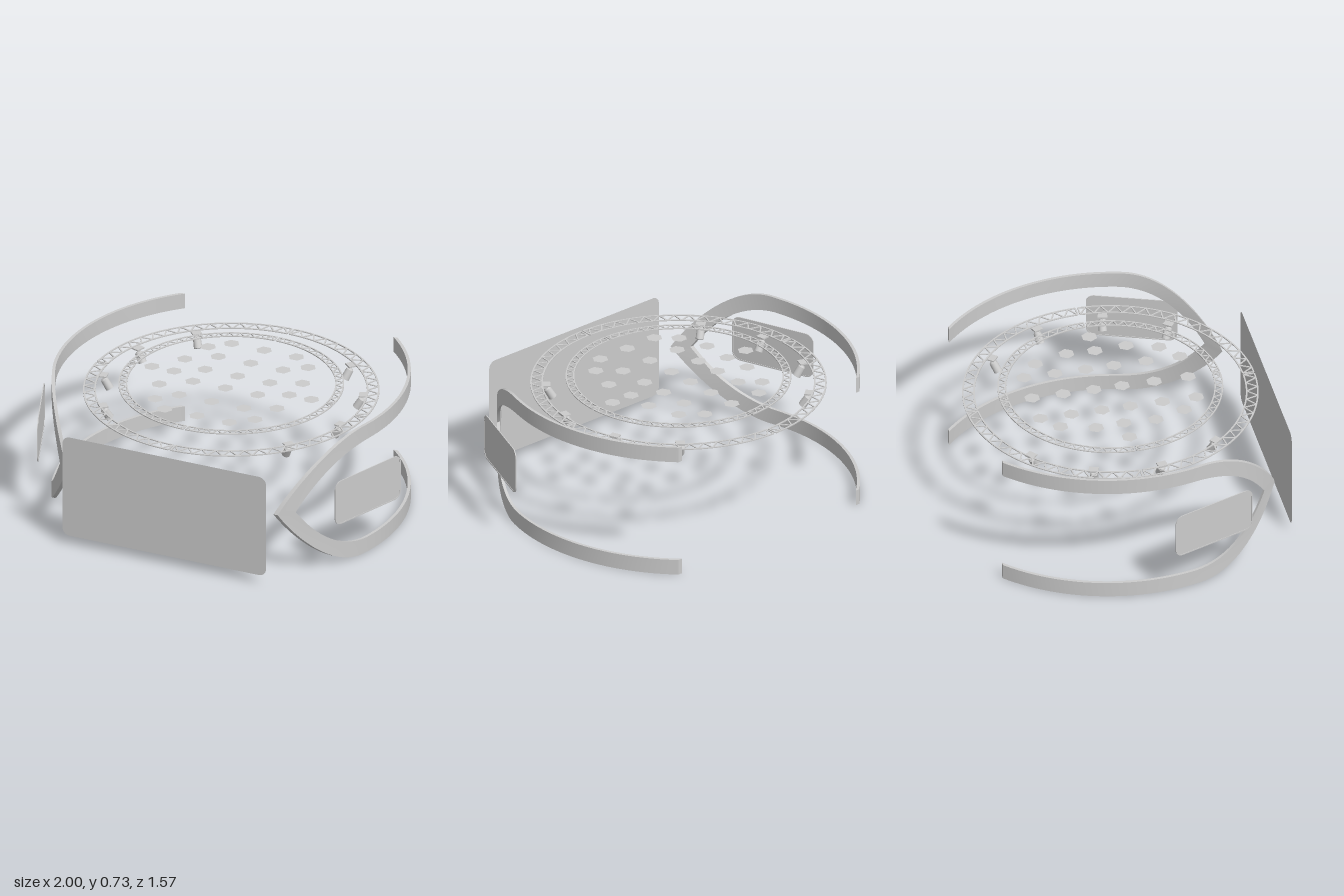
import * as THREE from 'three';
import { mergeGeometries, toCreasedNormals } from 'three/addons/utils/BufferGeometryUtils.js';

const material = new THREE.MeshStandardMaterial({ color: 0xcccccc, side: THREE.DoubleSide });
const CZ = -0.03; // z of the common centre of the rings

function add(parent, name, geometry, x = 0, y = 0, z = 0) {
  const mesh = new THREE.Mesh(geometry, material);
  mesh.name = name;
  mesh.position.set(x, y, z);
  parent.add(mesh);
  return mesh;
}

function roundedRect(w, h, r, Type = THREE.Shape) {
  const s = new Type(), x = w / 2, y = h / 2;
  s.absarc(x - r, y - r, r, 0, Math.PI / 2);
  s.absarc(-x + r, y - r, r, Math.PI / 2, Math.PI);
  s.absarc(-x + r, -y + r, r, Math.PI, Math.PI * 1.5);
  s.absarc(x - r, -y + r, r, Math.PI * 1.5, Math.PI * 2);
  s.closePath();
  return s;
}

// One quarter of a flat circular truss: two chords, zigzag braces and end bars
function trussQuarter(inner, outer, bays, w) {
  const t = 0.005, gap = 0.007 / outer, a0 = gap, a1 = Math.PI / 2 - gap;
  const parts = [];
  for (const r of [inner, outer - w]) {
    const s = new THREE.Shape();
    s.absarc(0, 0, r + w, a0, a1, false);
    s.absarc(0, 0, r, a1, a0, true);
    s.closePath();
    parts.push(new THREE.ExtrudeGeometry(s, { depth: t, bevelEnabled: false, curveSegments: 32 }));
  }
  const at = (r, a) => new THREE.Vector2(r * Math.cos(a), r * Math.sin(a));
  const bar = (p, q) => {
    const d = q.clone().sub(p);
    const g = new THREE.BoxGeometry(d.length(), w * 0.9, t * 0.8);
    g.rotateZ(d.angle());
    g.translate((p.x + q.x) / 2, (p.y + q.y) / 2, t / 2);
    parts.push(g.toNonIndexed());
  };
  const ri = inner + w / 2, ro = outer - w / 2;
  const n = bays * 2, step = (a1 - a0) / n;
  for (let i = 0; i < n; i++) {
    bar(at(i % 2 ? ro : ri, a0 + i * step), at(i % 2 ? ri : ro, a0 + (i + 1) * step));
  }
  for (const a of [a0, a1]) bar(at(ri, a), at(ro, a));
  return mergeGeometries(parts).rotateX(Math.PI / 2);
}

// C-shaped band, bent round an upright cylinder
function sideBand(side) {
  const R = 0.978, thick = 0.016, midY = 0.3625;
  const v = (z, y) => new THREE.Vector2(z, y);
  const edge = (back, start, c1, c2, tip) => {
    const pts = [];
    for (let i = 0; i < 28; i++) pts.push(start.clone().lerp(back, 1 - i / 28));
    pts.push(...new THREE.CubicBezierCurve(start, c1, c2, tip).getPoints(28));
    const lower = pts.slice(0, -1).reverse().map((p) => v(p.x, 2 * midY - p.y));
    return pts.concat(lower);
  };
  const outer = edge(v(-0.735, 0.725), v(0.24, 0.725), v(0.45, 0.725), v(0.61, 0.54), v(0.69, midY));
  const inner = edge(v(-0.735, 0.642), v(0.2, 0.642), v(0.4, 0.642), v(0.53, 0.53), v(0.62, midY));
  const pos = [], idx = [];
  const corner = (p, r) =>
    pos.push(side * (-0.07 + Math.sqrt(r * r - (p.x - CZ) ** 2)), p.y, p.x);
  outer.forEach((o, i) => {
    corner(o, R);
    corner(inner[i], R);
    corner(inner[i], R - thick);
    corner(o, R - thick);
  });
  const quad = (a, b, c, d) => (side > 0 ? idx.push(a, b, c, a, c, d) : idx.push(a, c, b, a, d, c));
  for (let i = 0; i < outer.length - 1; i++) {
    for (let k = 0; k < 4; k++) {
      const a = i * 4 + k, b = i * 4 + ((k + 1) % 4);
      quad(a, b, b + 4, a + 4);
    }
  }
  const e = (outer.length - 1) * 4;
  quad(3, 2, 1, 0);
  quad(e, e + 1, e + 2, e + 3);
  const g = new THREE.BufferGeometry();
  g.setAttribute('position', new THREE.Float32BufferAttribute(pos, 3));
  g.setIndex(idx);
  return toCreasedNormals(g, 0.5);
}

// Spotlight hanging from the outer truss, tilted towards the centre
function spotlight(angle) {
  const lamp = new THREE.Group();
  lamp.name = 'spotlight';
  lamp.position.set(0, 0, CZ);
  lamp.rotation.y = -angle;
  add(lamp, 'mountPlate', new THREE.BoxGeometry(0.045, 0.007, 0.05), 0.675, 0.62, 0);
  add(lamp, 'stem', new THREE.CylinderGeometry(0.006, 0.006, 0.035, 10), 0.665, 0.603, 0);
  const head = new THREE.Group();
  head.name = 'lampHead';
  head.position.set(0.654, 0.572, 0);
  head.rotation.z = -0.55;
  add(head, 'can', new THREE.CylinderGeometry(0.02, 0.022, 0.055, 20));
  add(head, 'cap', new THREE.CylinderGeometry(0.012, 0.02, 0.008, 20), 0, 0.031, 0);
  lamp.add(head);
  return lamp;
}

export function createModel() {
  const model = new THREE.Group();
  model.name = 'stageSet';

  // Large front screen
  add(model, 'frontScreen', new THREE.ShapeGeometry(roundedRect(1.14, 0.56, 0.04)), 0, 0.332, 0.785);

  // Two overhead truss rings, each of four quarters
  const rings = [
    ['outerTruss', 0.69, 0.755, 15, 0.627, 0.008],
    ['innerTruss', 0.53, 0.575, 16, 0.662, 0.007],
  ];
  for (const [name, inner, outer, bays, y, w] of rings) {
    const g = trussQuarter(inner, outer, bays, w);
    for (let i = 0; i < 4; i++) add(model, name, g, 0, y, CZ).rotation.y = (i * Math.PI) / 2;
  }

  // Hexagonal ceiling panels: three columns and a loose ring at the sides
  const hex = new THREE.CircleGeometry(0.042, 6).rotateX(-Math.PI / 2);
  const panel = (x, z) => add(model, 'hexPanel', hex, x, 0.66, z);
  for (const x of [-0.187, -0.005, 0.176])
    for (const z of [-0.44, -0.278, -0.118, 0.03, 0.198, 0.375]) panel(x, z);
  const sidePanels = [[0.28, -0.357], [0.33, -0.182], [0.323, -0.035], [0.447, -0.035], [0.33, 0.13], [0.28, 0.29]];

  for (const side of [1, -1]) {
    for (const [x, z] of sidePanels) panel(side * x, z);

    // Spotlights
    for (const deg of [-50, -20.5, 9.8, 39.5]) {
      const a = THREE.MathUtils.degToRad(deg);
      model.add(spotlight(side > 0 ? a : Math.PI - a));
    }

    // Curved band
    add(model, side > 0 ? 'leftBand' : 'rightBand', sideBand(side));

    // Side screen with a slim raised rim
    const screen = new THREE.Group();
    screen.name = side > 0 ? 'leftScreen' : 'rightScreen';
    screen.position.set(side * 0.916, 0.394, 0.297);
    screen.rotation.y = side * Math.atan2(0.936, 0.351);
    add(screen, 'screenPanel', new THREE.ShapeGeometry(roundedRect(0.47, 0.246, 0.045)));
    const rim = roundedRect(0.47, 0.246, 0.045);
    rim.holes.push(roundedRect(0.458, 0.234, 0.039, THREE.Path));
    add(screen, 'screenRim', new THREE.ExtrudeGeometry(rim, { depth: 0.005, bevelEnabled: false }), 0, 0, -0.0025);
    model.add(screen);
  }
  return model;
}
